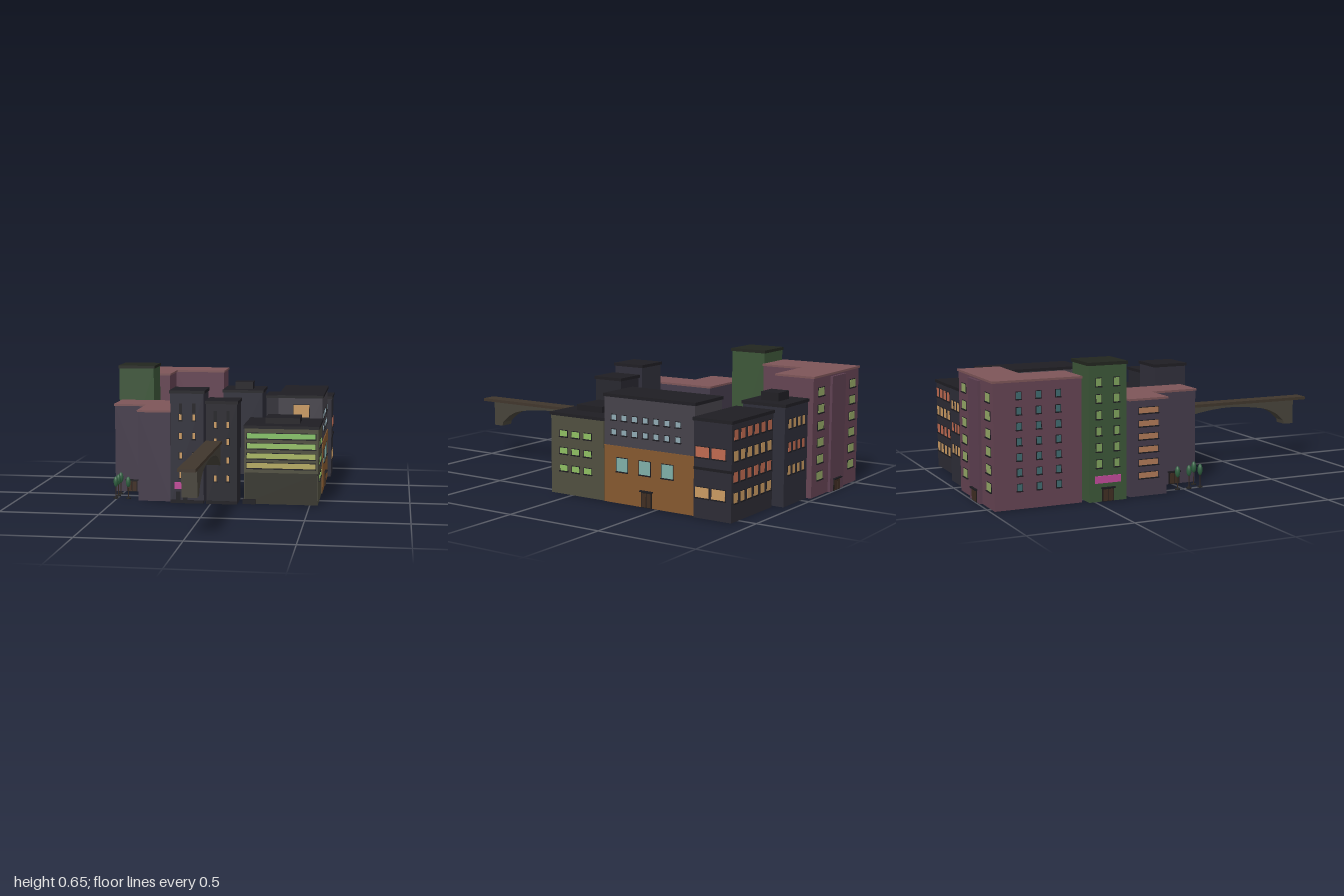
import * as THREE from 'three';

const materials = {};
const mat = (c) => (materials[c] ??= new THREE.MeshStandardMaterial({ color: c }));
const ROOF = 0x1f1e23, TRIM = 0x1c1b20, MAUVE = 0x7d5558;

function add(parent, name, geometry, color) {
  const mesh = new THREE.Mesh(geometry, mat(color));
  mesh.name = name;
  parent.add(mesh);
  return mesh;
}

// Box given by its limits
function block(parent, name, [x0, x1], [y0, y1], [z0, z1], color) {
  const mesh = add(parent, name, new THREE.BoxGeometry(x1 - x0, y1 - y0, z1 - z0), color);
  mesh.position.set((x0 + x1) / 2, (y0 + y1) / 2, (z0 + z1) / 2);
  return mesh;
}

// Vertical prism over an outline of [x, z] corners
function prism(parent, name, outline, y0, y1, color) {
  const shape = new THREE.Shape(outline.map(([x, z]) => new THREE.Vector2(x, -z)));
  const geo = new THREE.ExtrudeGeometry(shape, { depth: y1 - y0, bevelEnabled: false });
  geo.rotateX(-Math.PI / 2).translate(0, y0, 0);
  return add(parent, name, geo, color);
}

// L outline: a bar from x0 to x1 and an arm along the x0 side, grown by o
function ell(x0, x1, xi, z0, zi, z1, o = 0) {
  const s = Math.sign(x1 - x0) * o;
  return [[x0 - s, z0 - o], [x1 + s, z0 - o], [x1 + s, zi + o], [xi + s, zi + o], [xi + s, z1 + o], [x0 - s, z1 + o]];
}

// Flat panel on a wall; u runs along the wall, plane is the wall position
function panel(parent, name, wall, u, y, w, h, color, depth = 0.004) {
  const out = [wall.at - 0.002 * wall.sign, wall.at + depth * wall.sign].sort((a, b) => a - b);
  const along = [u - w / 2, u + w / 2];
  const ys = [y - h / 2, y + h / 2];
  return wall.axis === 'x'
    ? block(parent, name, out, ys, along, color)
    : block(parent, name, along, ys, out, color);
}

// Grid of framed windows with sills
function windows(parent, wall, us, ys, w, h, colors) {
  ys.forEach((y, row) => us.forEach((u) => {
    panel(parent, 'windowFrame', wall, u, y, w + 0.006, h + 0.006, TRIM, 0.002);
    panel(parent, 'windowPane', wall, u, y, w, h, colors[row % colors.length], 0.003);
    panel(parent, 'windowSill', wall, u, y - h / 2 - 0.003, w + 0.008, 0.005, TRIM, 0.007);
  }));
}

function door(parent, wall, u, w, h) {
  panel(parent, 'doorFrame', wall, u, h / 2, w, h, 0x1f1b1a, 0.003);
  for (const s of [-1, 1]) panel(parent, 'doorLeaf', wall, u + s * w * 0.22, h * 0.46, w * 0.38, h * 0.84, 0x3f2d22, 0.005);
  panel(parent, 'doorCanopy', wall, u, h, w + 0.01, 0.006, TRIM, 0.012);
}

const front = (at) => ({ axis: 'z', sign: 1, at });
const back = (at) => ({ axis: 'z', sign: -1, at });
const east = (at) => ({ axis: 'x', sign: 1, at });
const west = (at) => ({ axis: 'x', sign: -1, at });
const steps = (a, b, n) => Array.from({ length: n }, (_, i) => a + (b - a) * i / (n - 1));

// Rectangular building with a projecting flat roof
function building(root, name, xs, zs, height, color, roofColor = ROOF) {
  const g = new THREE.Group();
  g.name = name;
  root.add(g);
  const o = 0.005;
  block(g, 'walls', xs, [0, height - 0.015], zs, color);
  block(g, 'roofSlab', [xs[0] - o, xs[1] + o], [height - 0.015, height], [zs[0] - o, zs[1] + o], roofColor);
  return g;
}

function cornerBuilding(root, name, limits, height, color) {
  const g = new THREE.Group();
  g.name = name;
  root.add(g);
  prism(g, 'walls', ell(...limits), 0, height - 0.01, color);
  prism(g, 'roofSlab', ell(...limits, 0.005), height - 0.01, height, MAUVE);
  return g;
}

function bridge(root) {
  const g = new THREE.Group();
  g.name = 'bridge';
  root.add(g);
  block(g, 'deck', [-0.025, 0.057], [0.308, 0.323], [0.16, 1], 0x40362c);
  // Side profile: pier at the far end, curved underside
  const s = new THREE.Shape();
  s.moveTo(0.165, 0.31);
  s.lineTo(0.925, 0.31);
  s.lineTo(0.925, 0.18);
  s.lineTo(0.87, 0.18);
  s.lineTo(0.865, 0.2);
  s.splineThru([[0.81, 0.245], [0.72, 0.277], [0.52, 0.295], [0.32, 0.273], [0.22, 0.235], [0.165, 0.2]]
    .map(([z, y]) => new THREE.Vector2(z, y)));
  const geo = new THREE.ExtrudeGeometry(s, { depth: 0.072, bevelEnabled: false, curveSegments: 4 });
  geo.rotateY(-Math.PI / 2).translate(0.052, 0, 0);
  add(g, 'archedSpan', geo, 0x47433a);
}

function tree(root, x, z) {
  const g = new THREE.Group();
  g.name = 'tree';
  g.position.set(x, 0, z);
  root.add(g);
  add(g, 'treeBase', new THREE.CylinderGeometry(0.013, 0.013, 0.006, 10), 0x222222).position.y = 0.003;
  add(g, 'trunk', new THREE.CylinderGeometry(0.002, 0.003, 0.07, 6), 0x33261d).position.y = 0.035;
  const crown = add(g, 'crown', new THREE.SphereGeometry(1, 12, 8), 0x2f6040);
  crown.scale.set(0.0125, 0.028, 0.0125);
  crown.position.y = 0.088;
}

export function createModel() {
  const root = new THREE.Group();
  root.name = 'cityBlock';
  const LIT = 0xc99a62, GREEN = 0x8fbf62, RED = 0xbf6a50, TEAL = 0x7fb0a8;

  // Back corner block
  const a = cornerBuilding(root, 'backCornerBlock', [-0.55, -0.06, -0.335, -0.98, -0.78, -0.555], 0.59, 0x644352);
  block(a, 'entranceBay', [-0.38, -0.235], [0, 0.572], [-0.993, -0.97], 0x5d3f50);
  door(a, back(-0.993), -0.305, 0.07, 0.06);
  windows(a, back(-0.98), [-0.48, -0.14], steps(0.51, 0.1, 6), 0.06, 0.038, [0x94a866]);
  windows(a, west(-0.55), [-0.86, -0.765, -0.67], steps(0.52, 0.1, 7), 0.022, 0.03, [0x3f6a70]);

  // Back tower with a roof house
  const b = building(root, 'backTower', [-0.055, 0.17], [-0.955, -0.73], 0.485, 0x2d2d38);
  block(b, 'roofHouse', [0.005, 0.107], [0.48, 0.525], [-0.885, -0.79], ROOF);
  windows(b, back(-0.955), steps(-0.01, 0.125, 4), [0.39, 0.28, 0.17], 0.024, 0.042, [LIT, RED]);

  // Back left block
  const c = building(root, 'backLeftBlock', [0.195, 0.563], [-0.907, -0.71], 0.46, 0x2c2b34);
  windows(c, back(-0.907), steps(0.23, 0.53, 6), steps(0.395, 0.11, 4), 0.036, 0.045, [RED, LIT]);
  windows(c, east(0.563), [-0.755, -0.84], [0.305, 0.12], 0.07, 0.047, [RED, LIT]);
  panel(c, 'stringCourse', east(0.563), -0.808, 0.23, 0.195, 0.012, TRIM, 0.005);

  // Two-tone side block
  const d = building(root, 'sideBlock', [0.31, 0.54], [-0.7, -0.195], 0.52, 0x45424a);
  block(d, 'lowerStoreys', [0.308, 0.544], [0, 0.275], [-0.7, -0.196], 0x85582f);
  windows(d, east(0.54), steps(-0.25, -0.61, 7), [0.41, 0.34], 0.026, 0.024, [0x8fa9b3]);
  windows(d, east(0.544), [-0.3, -0.43, -0.555], [0.187], 0.062, 0.064, [TEAL]);
  door(d, east(0.544), -0.44, 0.06, 0.078);
  windows(d, front(-0.195), [0.43], [0.437], 0.082, 0.064, [LIT]);

  // Front office with ribbon windows
  const e = building(root, 'frontOffice', [0.167, 0.54], [-0.19, 0.127], 0.4, 0x504f3f);
  block(e, 'roofHouse', [0.265, 0.44], [0.395, 0.43], [-0.105, 0.045], ROOF);
  panel(e, 'groundFloorCladding', front(0.127), 0.3535, 0.08, 0.37, 0.16, 0x35342c, 0.002);
  windows(e, front(0.127), [0.353], [0.348, 0.297, 0.246, 0.197], 0.346, 0.026, [0x86c267, 0x95c067, 0xa9b663, 0xb5ab62]);
  windows(e, east(0.54), [0.05, -0.022, -0.095], [0.3, 0.215, 0.13], 0.044, 0.028, [GREEN]);
  block(e, 'frontStep', [0.16, 0.225], [0, 0.024], [0.12, 0.142], TRIM);

  // Paired front towers
  const towers = [
    ['tallFrontTower', [-0.205, -0.035], [-0.01, 0.16], 0.575, 0x302f3a, [-0.153, -0.085], [0.44, 0.345, 0.245, 0.145]],
    ['shortFrontTower', [-0.022, 0.134], [0.003, 0.16], 0.525, 0x28272f, [0.024, 0.088], [0.405, 0.32, 0.225, 0.132]],
  ];
  const [tall] = towers.map(([name, xs, zs, height, color, us, ys]) => {
    const g = building(root, name, xs, zs, height, color);
    for (const u of us) panel(g, 'topSlot', front(0.16), u, ys[0] + 0.045, 0.016, 0.05, TRIM, 0.002);
    windows(g, front(0.16), us, ys, 0.013, 0.03, [LIT]);
    panel(g, 'plinth', front(0.16), (xs[0] + xs[1]) / 2, 0.008, xs[1] - xs[0], 0.016, TRIM, 0.003);
    return g;
  });
  panel(tall, 'shopSign', front(0.16), -0.122, 0.09, 0.124, 0.034, 0xc04a98, 0.006);
  for (const u of [-0.165, -0.13]) panel(tall, 'shopDoor', front(0.16), u, 0.03, 0.022, 0.06, TRIM, 0.004);

  // Front corner block
  const f = cornerBuilding(root, 'frontCornerBlock', [-0.212, -0.552, -0.378, -0.312, -0.118, 0.127], 0.468, 0x443b4b);
  door(f, front(-0.118), -0.463, 0.058, 0.062);
  door(f, west(-0.378), 0.01, 0.058, 0.062);
  windows(f, west(-0.552), [-0.215], steps(0.41, 0.1, 6), 0.1, 0.026, [0xb07a58]);

  // Green tower
  const h = building(root, 'greenTower', [-0.575, -0.385], [-0.53, -0.34], 0.652, 0x3c5638, 0x22261f);
  windows(h, west(-0.575), [-0.48, -0.39], steps(0.56, 0.18, 6), 0.026, 0.036, [0x7fa35c]);
  panel(h, 'shopSign', west(-0.575), -0.435, 0.105, 0.13, 0.034, 0xc04a98, 0.006);
  door(h, west(-0.575), -0.435, 0.06, 0.065);

  bridge(root);
  for (const [x, z] of [[-0.505, -0.035], [-0.505, 0.027], [-0.505, 0.088], [-0.44, 0.088]]) tree(root, x, z);
  return root;
}
